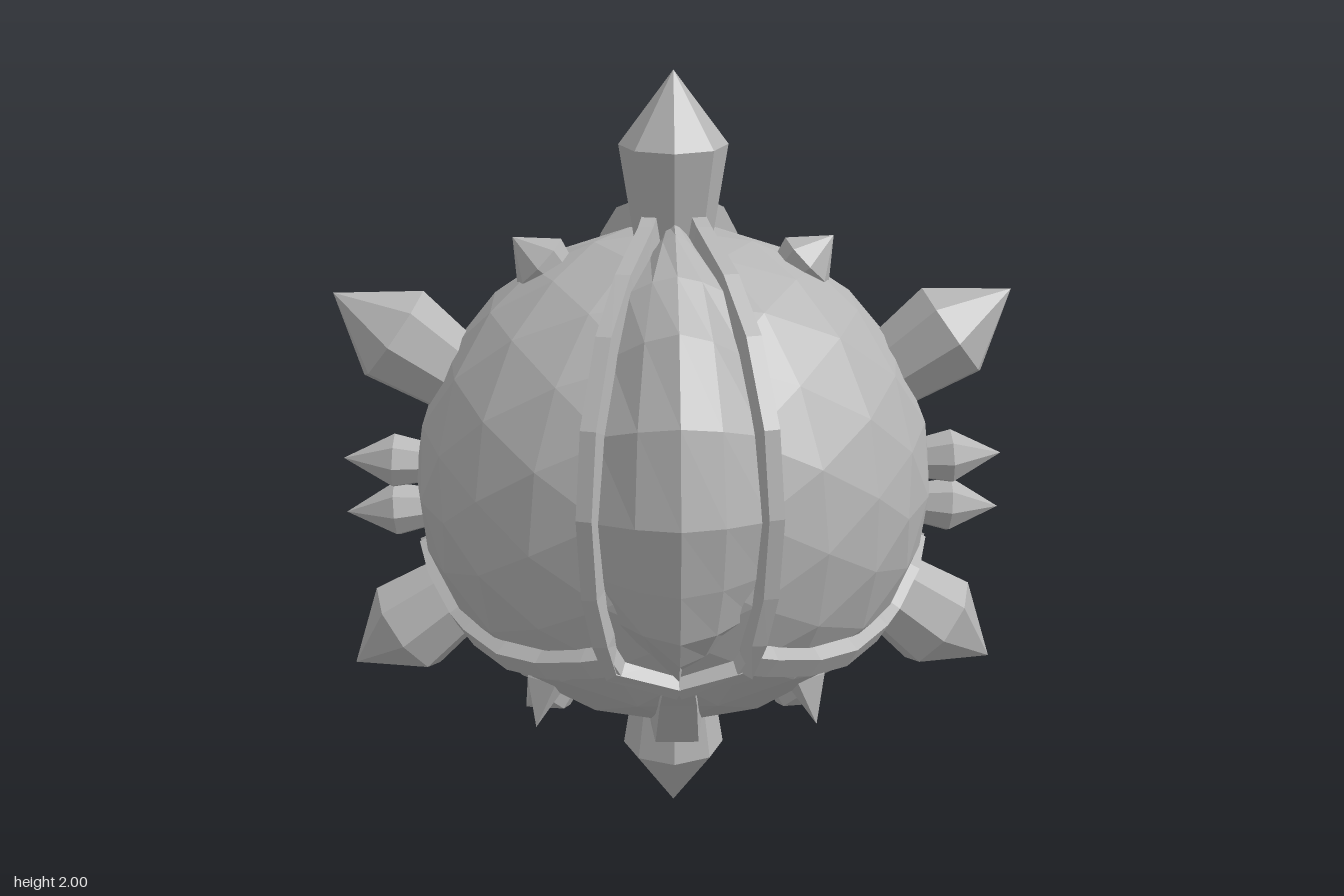
import * as THREE from 'three';

const CENTRE = new THREE.Vector3(0, 0.965, 0);
const V = (p) => new THREE.Vector3(...p);

// Skins a list of rows of points; closed rows get end caps
function loft(rows, closed) {
  const n = rows[0].length, pos = rows.flat().flatMap((p) => p.toArray()), idx = [];
  for (let i = 0; i < rows.length - 1; i++) {
    for (let j = 0; j < (closed ? n : n - 1); j++) {
      const a = i * n + j, b = i * n + (j + 1) % n;
      idx.push(a, b, a + n, b, b + n, a + n);
    }
  }
  if (closed) {
    const e = (rows.length - 1) * n;
    for (let j = 1; j < n - 1; j++) idx.push(0, j + 1, j, e, e + j, e + j + 1);
  }
  const g = new THREE.BufferGeometry();
  g.setAttribute('position', new THREE.Float32BufferAttribute(pos, 3));
  g.setIndex(idx);
  const flat = g.toNonIndexed();
  flat.computeVertexNormals();
  return flat;
}

// Raised band with a bevelled section; points lie on its outer centreline
function strap(points, halfWidth, depth, endWidth = halfWidth) {
  const p = points.map(V), last = p.length - 1;
  return loft(p.map((q, i) => {
    const t = p[Math.min(i + 1, last)].clone().sub(p[Math.max(i - 1, 0)]).normalize();
    const out = q.clone().sub(CENTRE);
    out.addScaledVector(t, -out.dot(t)).normalize();
    const side = out.clone().cross(t);
    const w = THREE.MathUtils.lerp(halfWidth, endWidth, i / last);
    const at = (u, v) => q.clone().addScaledVector(side, u * w).addScaledVector(out, v);
    return [at(-1.2, -depth), at(1.2, -depth), at(0.9, 0), at(-0.9, 0)];
  }), true);
}

export function createModel() {
  const model = new THREE.Group();
  model.name = 'spikedHelmet';
  const grey = new THREE.MeshStandardMaterial({ color: 0xb5b5b5 });
  grey.name = 'stone grey';
  grey.flatShading = true;

  const add = (name, geometry, parent = model) => {
    const m = new THREE.Mesh(geometry, grey);
    m.name = name;
    parent.add(m);
    return m;
  };

  // Faceted round body
  const body = add('body', new THREE.IcosahedronGeometry(1, 3));
  body.scale.set(0.665, 0.64, 0.655);
  body.position.copy(CENTRE);

  // Spike: profile of [radius, height], set at a base point and aimed along a direction
  const spike = (name, profile, base, dir, sides = 8) => {
    const m = add(name, new THREE.LatheGeometry(profile.map((p) => new THREE.Vector2(...p)), sides));
    m.position.set(...base);
    m.quaternion.setFromUnitVectors(new THREE.Vector3(0, 1, 0), V(dir).normalize());
  };
  const large = [[0.09, -0.08], [0.1, 0], [0.135, 0.22], [0, 0.4]];
  const small = [[0.045, -0.06], [0.055, 0], [0.073, 0.08], [0, 0.21]];
  const stub = [[0.04, -0.08], [0.05, 0], [0.08, 0.09], [0, 0.18]];
  const barb = [[0.06, -0.04], [0.055, 0], [0, 0.12]];

  spike('topSpike', large, [0, 1.6, 0], [0, 1, 0]);
  spike('bottomSpike', large, [0, 0.4, 0], [0, -1, 0]);
  for (const x of [-1, 1]) {
    for (const y of [-1, 1]) {
      spike('largeSideSpike', large, [x * 0.527, 0.94 + y * 0.275, 0], [x * 0.81, y * 0.59, 0]);
      spike('smallSideSpike', small, [x * 0.64, 0.937 + y * 0.062, 0], [x, y * 0.06, 0]);
      spike('stubSpike', stub, [x * 0.27, 0.94 + y * 0.525, 0], [x * 0.7, y * 0.68, 0]);
    }
    for (const z of [-1, 1]) {
      spike('barb', barb, [x * 0.325, 0.52, z * 0.305], [x * 0.2, -0.75, z * 0.3], 4);
    }
  }

  // Front half of the crest and its straps; the back repeats it turned round
  // Crest rows: half width, ridge height, ridge depth
  const crest = [[0.03, 1.645, 0.04], [0.06, 1.64, 0.2], [0.115, 1.59, 0.4], [0.155, 1.5, 0.56],
    [0.19, 1.32, 0.69], [0.205, 1.1, 0.75], [0.195, 0.93, 0.725], [0.17, 0.8, 0.695], [0.12, 0.72, 0.645], [0.02, 0.65, 0.58]];
  const across = [[1, 0.85], [0.5, 0.95], [0, 1], [-0.5, 0.95], [-1, 0.85]];
  const crestRows = crest.map(([w, y, z]) => across.map(([s, k]) => {
    const kk = y > 1.55 ? 1 - (1 - k) * 0.5 : k;
    return new THREE.Vector3(w * s, CENTRE.y + (y - CENTRE.y) * kk, z * kk);
  }));

  for (const turn of [0, Math.PI]) {
    const half = new THREE.Group();
    half.name = turn ? 'backHalf' : 'frontHalf';
    half.rotation.y = turn;
    model.add(half);
    add('crestPanel', loft(crestRows, false), half);

    for (const s of [-1, 1]) {
      // Strap beside the crest, meeting its twin in a V below
      add('crestStrap', strap([
        [s * 0.05, 1.665, -0.02], [s * 0.07, 1.65, 0.16], [s * 0.125, 1.585, 0.36], [s * 0.17, 1.48, 0.51],
        [s * 0.205, 1.3, 0.64], [s * 0.217, 1.1, 0.68], [s * 0.208, 0.9, 0.665], [s * 0.185, 0.77, 0.64],
        [s * 0.16, 0.675, 0.605], [0, 0.62, 0.59],
      ], 0.021, 0.09), half);
      // Wavy rim around the lower part of the body
      add('rimStrap', strap([
        [s * 0.15, 0.71, 0.62], [s * 0.22, 0.685, 0.585], [s * 0.33, 0.645, 0.505], [s * 0.43, 0.63, 0.42],
        [s * 0.52, 0.635, 0.29], [s * 0.565, 0.645, 0.2], [s * 0.625, 0.72, 0.12], [s * 0.655, 0.755, 0],
      ], 0.033, 0.09), half);
    }
    // Keel running from the V down to the underside
    add('keel', strap([[0, 0.63, 0.575], [0, 0.55, 0.51], [0, 0.385, 0.385], [0, 0.34, 0.2]], 0.04, 0.14, 0.07), half);
  }
  return model;
}
